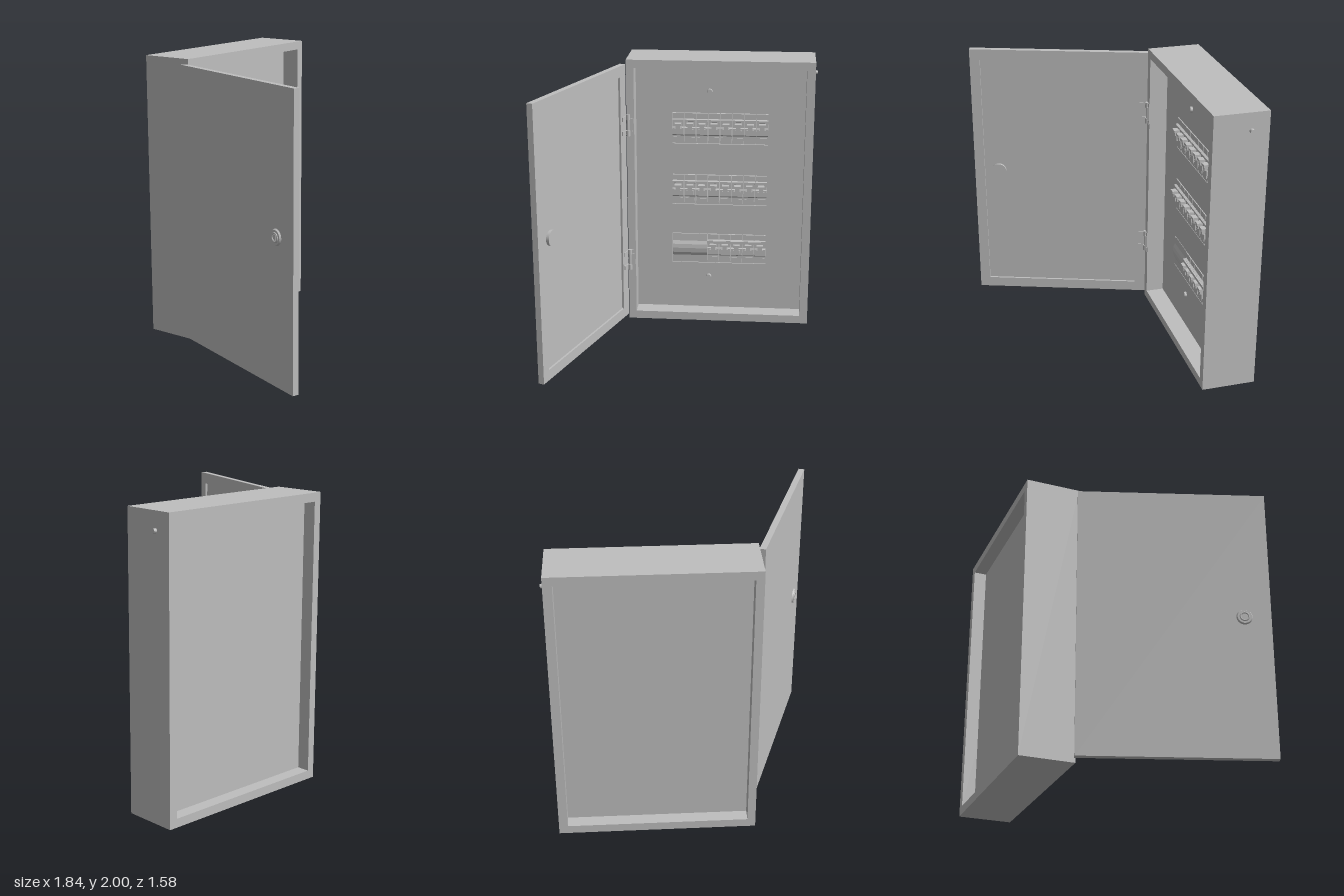
import * as THREE from 'three';

const grey = new THREE.MeshStandardMaterial({ color: 0xbebebe });
grey.name = 'painted grey steel';

function add(parent, name, geometry, x = 0, y = 0, z = 0) {
  const mesh = new THREE.Mesh(geometry, grey);
  mesh.name = name;
  mesh.position.set(x, y, z);
  parent.add(mesh);
  return mesh;
}

// box given by its limits
function block(parent, name, x0, x1, y0, y1, z0, z1) {
  return add(parent, name, new THREE.BoxGeometry(x1 - x0, y1 - y0, z1 - z0),
    (x0 + x1) / 2, (y0 + y1) / 2, (z0 + z1) / 2);
}

const corners = (x0, x1, y0, y1) => [[x0, y0], [x1, y0], [x1, y1], [x0, y1]].map(p => new THREE.Vector2(...p));

// rectangular plate with rectangular openings, extruded from z0 to z1
function plate(parent, name, outer, holes, z0, z1) {
  const shape = new THREE.Shape(corners(...outer));
  for (const h of holes) shape.holes.push(new THREE.Path(corners(...h)));
  return add(parent, name, new THREE.ExtrudeGeometry(shape, { depth: z1 - z0, bevelEnabled: false }), 0, 0, z0);
}

// disc whose axis runs along z
function disc(parent, name, r0, r1, depth, x, y, z, sides = 24) {
  const geometry = new THREE.CylinderGeometry(r1, r0, depth, sides).rotateX(Math.PI / 2);
  return add(parent, name, geometry, x, y, z);
}

const PANEL = -0.55;      // front of the inner panel
const LEFT = -0.135, RIGHT = 0.57;
const ROWS = [1.355, 0.885, 0.42];
const ROW_H = 0.235;

// (z, y) profile extruded along x
function profileBar(parent, name, points, x0, x1, y) {
  const shape = new THREE.Shape(points.map(p => new THREE.Vector2(...p)));
  const geometry = new THREE.ExtrudeGeometry(shape, { depth: x1 - x0, bevelEnabled: false }).rotateY(-Math.PI / 2);
  return add(parent, name, geometry, x1, y, PANEL);
}

function makeBreaker(parent, x0, x1, y) {
  const g = new THREE.Group();
  g.name = 'circuitBreaker';
  parent.add(g);
  const cx = (x0 + x1) / 2;
  profileBar(g, 'breakerBody', [[-0.1, 0.004], [0, 0.004], [0, 0.062], [0.022, 0.075], [0.022, 0.125],
    [0.01, 0.13], [0.01, 0.168], [0.022, 0.172], [0.022, 0.186], [0.004, 0.19], [0.004, 0.231], [-0.1, 0.231]],
    x0 + 0.003, x1 - 0.003, y);
  const part = (name, w, a, b, z) =>
    block(g, name, cx - w / 2, cx + w / 2, y + a, y + b, PANEL, PANEL + z);
  part('toggleBase', 0.052, 0.085, 0.118, 0.034);
  part('toggleNeck', 0.032, 0.118, 0.15, 0.044);
  part('toggleGrip', 0.05, 0.145, 0.162, 0.052);
  part('terminalCover', 0.07, 0.025, 0.05, 0.005);
}

function makeHinge(parent, y) {
  const g = new THREE.Group();
  g.name = 'hinge';
  parent.add(g);
  block(g, 'frameLeaf', -0.452, -0.402, y, y + 0.16, -0.423, -0.416);
  for (const [a, b, r] of [[0, 0.04, 0.015], [0.042, 0.118, 0.01], [0.12, 0.16, 0.015]]) {
    add(g, 'hingeKnuckle', new THREE.CylinderGeometry(r, r, b - a, 16), -0.443, y + (a + b) / 2, -0.416);
  }
  block(g, 'hingeClip', -0.425, -0.41, y + 0.03, y + 0.13, -0.42, -0.408);
}

function makeDoor() {
  // local x runs away from the hinge, local +z is the outer face
  const door = new THREE.Group();
  door.name = 'door';
  door.position.set(-0.46, 0, -0.43);
  door.rotation.y = Math.atan2(-0.945, -0.327);
  const L = 1.29, y0 = 0.03, y1 = 1.965;
  plate(door, 'doorRim', [0, L, y0, y1], [[0.085, 1.217, 0.105, 1.885]], 0, 0.015);
  block(door, 'doorSheet', 0, L, y0, y1, 0.015, 0.042);
  // lock, inside and outside
  disc(door, 'lockInside', 0.055, 0.053, 0.025, 1.11, 1.02, 0.006, 32);
  disc(door, 'lockOutside', 0.055, 0.048, 0.012, 1.11, 1.02, 0.047, 32);
  const ring = new THREE.TorusGeometry(0.028, 0.006, 8, 24);
  add(door, 'lockRing', ring, 1.11, 1.02, 0.053);
  block(door, 'lockSlot', 1.104, 1.116, 1.0, 1.04, 0.05, 0.057);
  // door side of the hinges
  for (const y of [0.4, 1.44]) {
    for (const a of [0.012, 0.118]) block(door, 'doorLeaf', 0, 0.065, y + a, y + a + 0.03, -0.007, 0.001);
  }
  return door;
}

export function createModel() {
  const model = new THREE.Group();
  model.name = 'distributionBoard';

  // cabinet walls, open at the front and back
  const opening = [-0.4, 0.835, 0.06, 1.94];
  plate(model, 'cabinetWalls', [-0.455, 0.895, 0, 2], [opening], -0.795, -0.42);
  block(model, 'backPanel', ...opening, -0.705, -0.69);
  plate(model, 'frontPanel', opening, ROWS.map(y => [LEFT, RIGHT, y, y + ROW_H]), PANEL - 0.015, PANEL);

  // rows of breakers
  const step = (RIGHT - LEFT) / 8;
  ROWS.forEach((y, row) => {
    const first = row === 2 ? 3 : 0;
    for (let i = first; i < 8; i++) makeBreaker(model, LEFT + i * step, LEFT + (i + 1) * step, y);
    if (first) {
      profileBar(model, 'blankCover', [[-0.1, 0.004], [0, 0.004], [0.002, 0.06], [0.014, 0.085], [0.018, 0.12],
        [0.014, 0.15], [0.002, 0.175], [0, 0.231], [-0.1, 0.231]], LEFT + 0.003, LEFT + first * step - 0.003, y);
      block(model, 'linkBar', LEFT + first * step, RIGHT - 0.005, y + 0.165, y + 0.185, PANEL, PANEL + 0.03);
    }
  });

  // panel screws
  for (const y of [0.31, 1.75]) {
    disc(model, 'panelScrew', 0.021, 0.018, 0.018, 0.14, y, PANEL + 0.007);
  }

  // earthing bolt on the side wall
  const bolt = disc(model, 'sideBolt', 0.016, 0.013, 0.022, 0.904, 1.878, -0.675, 16);
  bolt.rotation.y = Math.PI / 2;

  for (const y of [0.4, 1.44]) makeHinge(model, y);
  model.add(makeDoor());
  return model;
}
